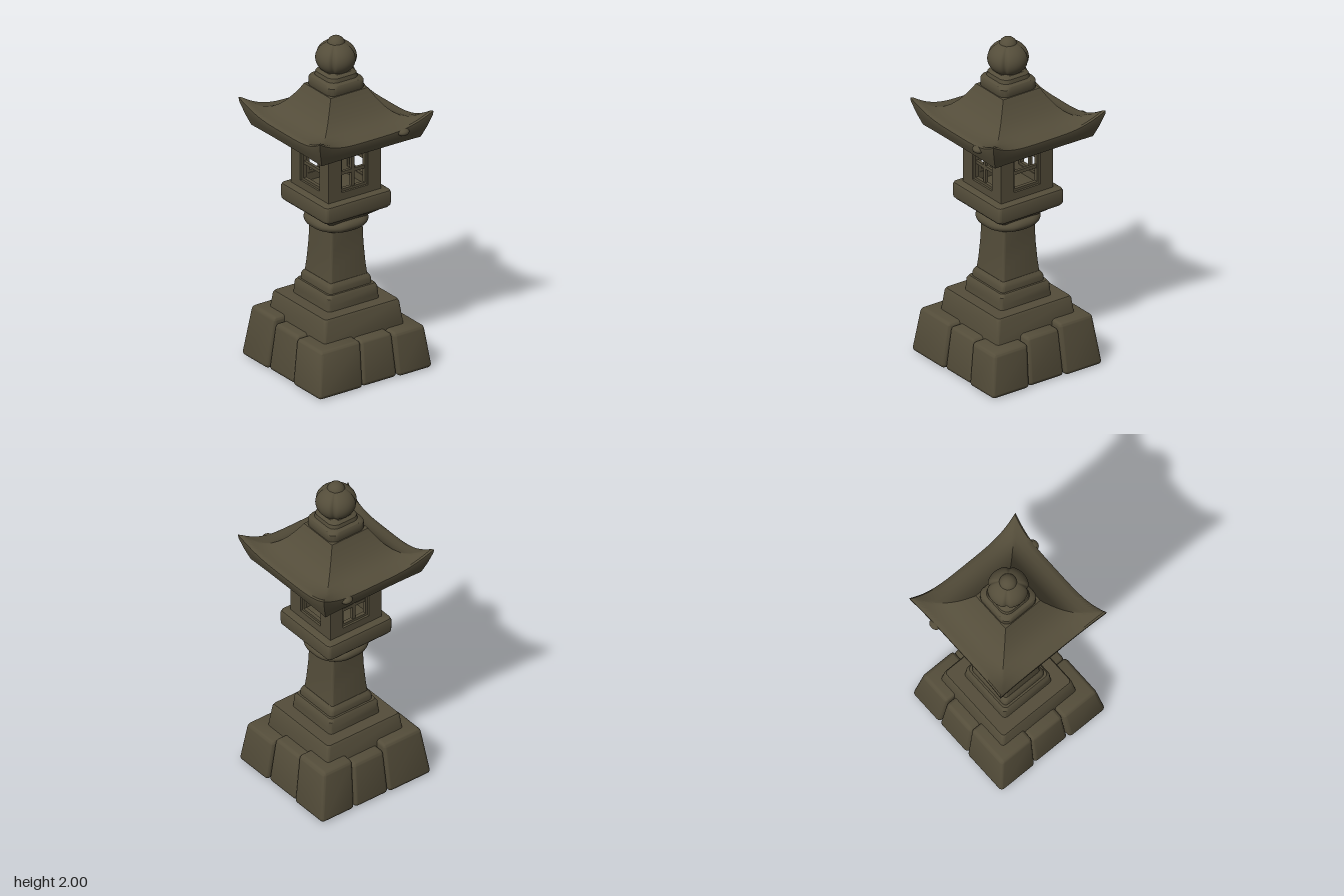
import * as THREE from 'three';
import { mergeVertices, toCreasedNormals } from 'three/addons/utils/BufferGeometryUtils.js';
import { RoundedBoxGeometry } from 'three/addons/geometries/RoundedBoxGeometry.js';

const stone = new THREE.MeshStandardMaterial({ color: 0x544d3a });
stone.name = 'olive stone';

function add(parent, name, geometry) {
  const mesh = new THREE.Mesh(geometry, stone);
  mesh.name = name;
  parent.add(mesh);
  return mesh;
}

// Skin a stack of closed rings (each an equal-length list of [x, y, z])
function skin(rings, crease = 0.6) {
  const n = rings[0].length, index = [];
  for (let j = 0; j < rings.length - 1; j++) {
    for (let i = 0; i < n; i++) {
      const a = j * n + i, b = j * n + (i + 1) % n;
      index.push(a, a + n, b, b, a + n, b + n);
    }
  }
  const g = new THREE.BufferGeometry();
  g.setAttribute('position', new THREE.Float32BufferAttribute(rings.flat(2), 3));
  g.setIndex(index);
  return toCreasedNormals(g, crease);
}

// Square ring with rounded corners
function squareRing(y, half, radius) {
  const pts = [], r = Math.min(radius, half), c = half - r, steps = 8;
  for (let k = 0; k < 4; k++) {
    const cx = c * (k === 0 || k === 3 ? 1 : -1), cz = c * (k < 2 ? 1 : -1);
    for (let i = 0; i <= steps; i++) {
      const a = (k + i / steps) * Math.PI / 2;
      pts.push([cx + r * Math.cos(a), y, cz + r * Math.sin(a)]);
    }
  }
  return pts;
}

// Closed solid from a [half width, y] profile
function squareLoft(profile, radius) {
  const first = profile[0], last = profile[profile.length - 1];
  const full = [[0.001, first[1]], ...profile, [0.001, last[1]]];
  return skin(full.map(([h, y]) => squareRing(y, h, radius)));
}

// Square roof ring whose corners rise and flare outwards
function roofRing([half, y, lift, flare]) {
  const pts = [], steps = 32;
  for (let k = 0; k < 4; k++) {
    for (let i = 0; i < steps; i++) {
      const t = -1 + 2 * i / steps, c = Math.pow(Math.abs(t), 4);
      let x = half + flare * c, z = t * (half + flare * c);
      for (let q = 0; q < k; q++) [x, z] = [-z, x];
      pts.push([x, y + lift * c, z]);
    }
  }
  return pts;
}

function rectPath(Type, x, y0, y1) {
  const p = new Type();
  p.moveTo(-x, y0); p.lineTo(x, y0); p.lineTo(x, y1); p.lineTo(-x, y1); p.closePath();
  return p;
}

function framedPanel(x, y0, y1, hx, hy0, hy1, z, depth) {
  const s = rectPath(THREE.Shape, x, y0, y1);
  s.holes.push(rectPath(THREE.Path, hx, hy0, hy1));
  return new THREE.ExtrudeGeometry(s, { depth, bevelEnabled: false }).translate(0, 0, z);
}

// Rounded block, everything tapering towards the axis with height
function baseStone(x0, x1, z0, z1, h) {
  const gap = 0.003;
  const g = new RoundedBoxGeometry(x1 - x0 - gap, h, z1 - z0 - gap, 3, 0.024);
  g.translate((x0 + x1) / 2, h / 2, (z0 + z1) / 2);
  const p = g.attributes.position;
  for (let i = 0; i < p.count; i++) {
    const k = 1 - 0.42 * p.getY(i) * (0.55 + p.getY(i));
    p.setX(i, p.getX(i) * k);
    p.setZ(i, p.getZ(i) * k);
  }
  return toCreasedNormals(g, 0.7);
}

export function createModel() {
  const lantern = new THREE.Group();
  lantern.name = 'stoneLantern';

  // Rough foundation blocks: x0, x1, z0, z1, height
  const base = new THREE.Group();
  base.name = 'foundation';
  lantern.add(base);
  [
    [-0.39, -0.085, 0.12, 0.39, 0.275], [-0.085, 0.155, 0.12, 0.38, 0.265], [0.155, 0.39, 0.13, 0.39, 0.26],
    [-0.378, -0.085, -0.125, 0.12, 0.28], [-0.085, 0.155, -0.12, 0.12, 0.3], [0.155, 0.38, -0.115, 0.13, 0.285],
    [-0.385, -0.085, -0.38, -0.125, 0.31], [-0.085, 0.155, -0.375, -0.12, 0.28], [0.155, 0.39, -0.375, -0.115, 0.31],
  ].forEach((b) => add(base, 'foundationStone', baseStone(...b)));

  // Stepped plinth and tapering shaft
  add(lantern, 'plinth', squareLoft([[0.28, 0.2], [0.272, 0.28], [0.258, 0.395], [0.25, 0.408]], 0.02));
  add(lantern, 'plinthStep', squareLoft([[0.178, 0.4], [0.175, 0.44], [0.172, 0.48], [0.16, 0.498]], 0.025));
  add(lantern, 'shaftFoot', squareLoft([[0.148, 0.49], [0.148, 0.525], [0.142, 0.54], [0.13, 0.555]], 0.025));
  add(lantern, 'shaft', squareLoft([[0.13, 0.54], [0.122, 0.62], [0.114, 0.74], [0.11, 0.88]], 0.015));

  // Rounded collar under the platform
  const collar = [];
  for (let i = 0; i <= 12; i++) {
    const a = -Math.PI / 2 + Math.PI * i / 12;
    collar.push([0.137 + 0.033 * Math.cos(a), 0.888 + 0.033 * Math.sin(a)]);
  }
  add(lantern, 'collar', squareLoft(collar, 0.14));

  // Flared platform
  add(lantern, 'platform', squareLoft([
    [0.13, 0.91], [0.145, 0.925], [0.195, 0.963], [0.215, 0.973], [0.225, 0.985],
    [0.227, 1.0], [0.227, 1.06], [0.222, 1.073], [0.21, 1.08],
  ], 0.025));

  // Hollow light chamber with framed windows on four sides
  for (let k = 0; k < 4; k++) {
    const side = new THREE.Group();
    side.name = 'chamberSide';
    side.rotation.y = k * Math.PI / 2;
    lantern.add(side);
    add(side, 'wall', framedPanel(0.18, 1.07, 1.425, 0.092, 1.125, 1.352, 0.14, 0.04));
    add(side, 'windowFrame', framedPanel(0.1, 1.115, 1.36, 0.078, 1.14, 1.337, 0.145, 0.022));
    add(side, 'windowBar', new THREE.BoxGeometry(0.17, 0.02, 0.018).translate(0, 1.235, 0.155));
    if (k % 2 === 0) {
      add(side, 'windowPost', new THREE.BoxGeometry(0.02, 0.21, 0.018).translate(0, 1.238, 0.155));
    }
  }

  // Sweeping roof: half width, height, corner lift, corner flare
  add(lantern, 'roof', skin([
    [0.001, 1.417, 0, 0], [0.335, 1.415, 0, 0.004], [0.35, 1.45, 0.03, 0.014], [0.362, 1.485, 0.072, 0.026],
    [0.362, 1.497, 0.082, 0.028], [0.354, 1.504, 0.076, 0.024], [0.33, 1.508, 0.045, 0.01], [0.295, 1.515, 0.02, 0.004],
    [0.26, 1.53, 0.006, 0], [0.225, 1.556, 0.002, 0], [0.195, 1.588, 0, 0], [0.165, 1.63, 0, 0],
    [0.143, 1.666, 0, 0], [0.128, 1.695, 0, 0], [0.001, 1.7, 0, 0],
  ].map(roofRing), 0.65));

  // Small worn knobs on the front and back eaves
  for (const s of [-1, 1]) {
    const knob = add(lantern, 'eaveKnob', new THREE.SphereGeometry(0.03, 16, 12));
    knob.position.set(0.205, 1.488, 0.36 * s);
    knob.scale.set(1.2, 0.7, 1);
  }

  // Neck between roof and finial
  add(lantern, 'neck', squareLoft([
    [0.118, 1.685], [0.125, 1.7], [0.125, 1.74], [0.118, 1.753], [0.1, 1.762], [0.096, 1.785], [0.08, 1.8],
  ], 0.05));

  // Four-lobed finial ball with diagonal grooves
  let ball = new THREE.SphereGeometry(1, 96, 40);
  ball.deleteAttribute('uv');
  ball.deleteAttribute('normal');
  const p = ball.attributes.position;
  for (let i = 0; i < p.count; i++) {
    const x = p.getX(i), z = p.getZ(i);
    const d = Math.cos(2 * Math.atan2(z, x));
    const r = 0.117 * (1 - 0.11 * Math.exp(-d * d / 0.05));
    p.setXYZ(i, x * r, 1.873 + p.getY(i) * 0.1, z * r);
  }
  ball = mergeVertices(ball, 1e-5);
  ball.computeVertexNormals();
  add(lantern, 'finial', ball);
  const tip = add(lantern, 'finialTip', new THREE.SphereGeometry(0.052, 24, 16));
  tip.position.y = 1.948;

  return lantern;
}
